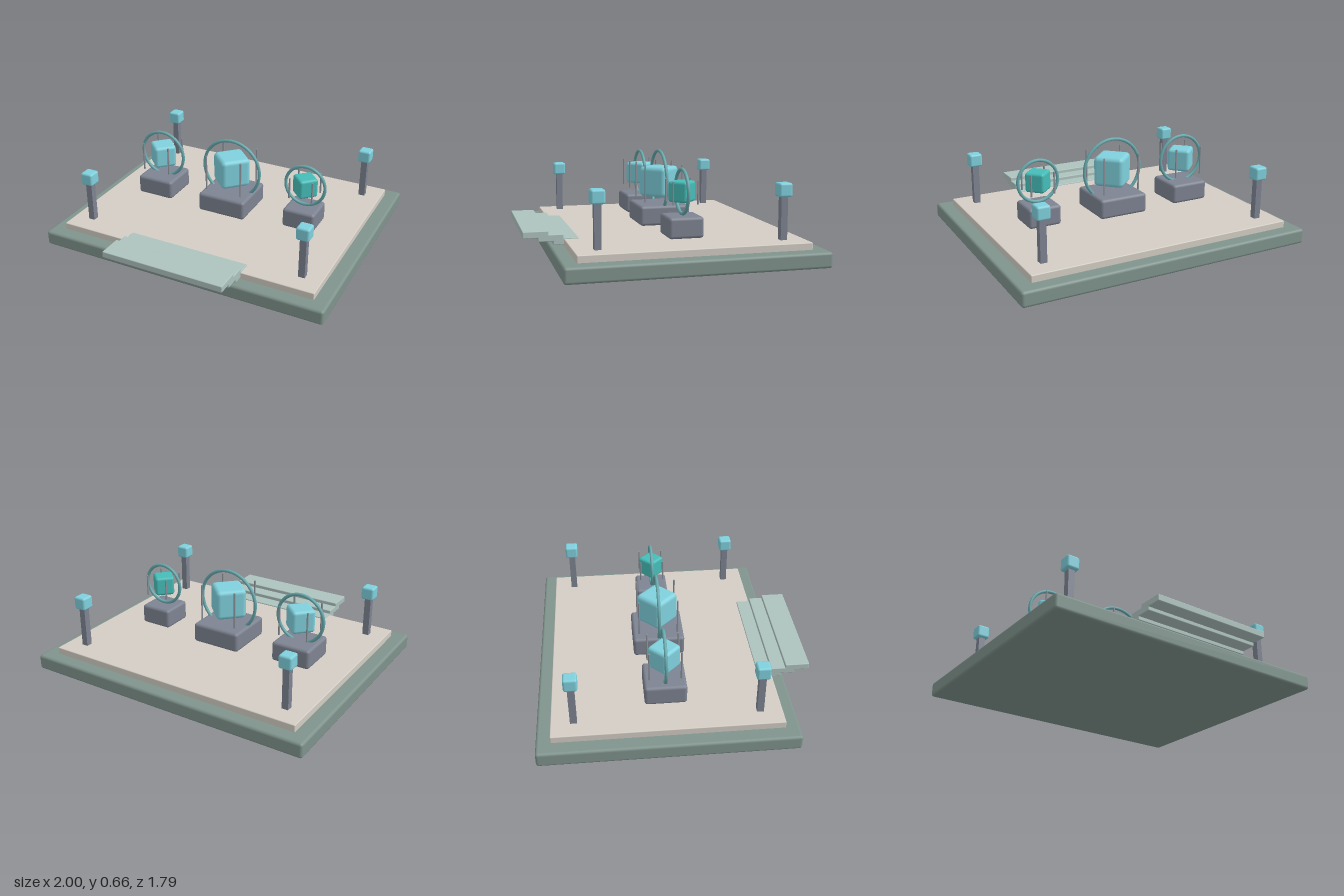
import * as THREE from 'three';
import { RoundedBoxGeometry } from 'three/addons/geometries/RoundedBoxGeometry.js';

const material = (color) => new THREE.MeshStandardMaterial({ color });

export function createModel() {
  const model = new THREE.Group();
  const centreZ = -0.085;
  const stone = material(0x7f938c);
  const paving = material(0xd3cdc4);
  const slate = material(0x7d8391);
  const glass = material(0x7fd0dc);
  const jade = material(0x45bdb8);
  const ringTeal = material(0x68aaae);
  const stepGreen = material(0xadc2be);
  const rodGrey = material(0x8d949c);

  function add(parent, name, geometry, mat, x, y, z) {
    const mesh = new THREE.Mesh(geometry, mat);
    mesh.name = name;
    mesh.position.set(x, y, z);
    parent.add(mesh);
    return mesh;
  }
  const rounded = (w, h, d, r) => new RoundedBoxGeometry(w, h, d, 2, r);

  // Plinth and paved floor
  add(model, 'base', rounded(2, 0.1, 1.63, 0.018), stone, 0, 0.05, centreZ);
  add(model, 'floor', rounded(1.81, 0.055, 1.45, 0.006), paving, 0, 0.1175, centreZ);

  // Three overlapping steps, rising outward at the front
  for (let i = 0; i < 3; i++) {
    add(model, 'step', rounded(0.845, 0.043, 0.16, 0.005), stepGreen,
      0, 0.131 + i * 0.024, 0.627 + i * 0.094);
  }

  // Displays: pedestal, turned cube, upright ring and four floating rods
  const displays = [
    { x: -0.548, width: 0.27, cube: 0.155, ring: 0.164, rod: 0.1, rodHeight: 0.2, mat: glass },
    { x: 0, width: 0.345, cube: 0.205, ring: 0.21, rod: 0.129, rodHeight: 0.25, mat: glass },
    { x: 0.545, width: 0.225, cube: 0.132, ring: 0.139, rod: 0.08, rodHeight: 0.145, mat: jade },
  ];
  for (const d of displays) {
    const display = new THREE.Group();
    display.name = 'display';
    display.position.set(d.x, 0, centreZ);
    model.add(display);

    add(display, 'pedestal', rounded(d.width, 0.134, d.width, 0.02), slate, 0, 0.221, 0);
    const cube = add(display, 'cube', rounded(d.cube, d.cube, d.cube, d.cube * 0.14), d.mat, 0, 0.437, 0);
    cube.rotation.y = Math.PI / 4;
    add(display, 'ring', new THREE.TorusGeometry(d.ring, 0.011, 10, 48), ringTeal, 0, 0.435, 0);
    for (const sx of [-1, 1]) for (const sz of [-1, 1]) {
      add(display, 'rod', new THREE.CylinderGeometry(0.006, 0.006, d.rodHeight, 10), rodGrey,
        sx * d.rod, 0.435, sz * d.rod);
    }
  }

  // Corner lamps
  for (const sx of [-1, 1]) for (const sz of [-1, 1]) {
    const lamp = new THREE.Group();
    lamp.name = 'lamp';
    lamp.position.set(sx * 0.773, 0, centreZ + sz * 0.582);
    model.add(lamp);
    add(lamp, 'lampPost', new THREE.BoxGeometry(0.043, 0.29, 0.043), slate, 0, 0.285, 0);
    add(lamp, 'lampHead', rounded(0.087, 0.087, 0.087, 0.014), glass, 0, 0.458, 0);
  }

  return model;
}
